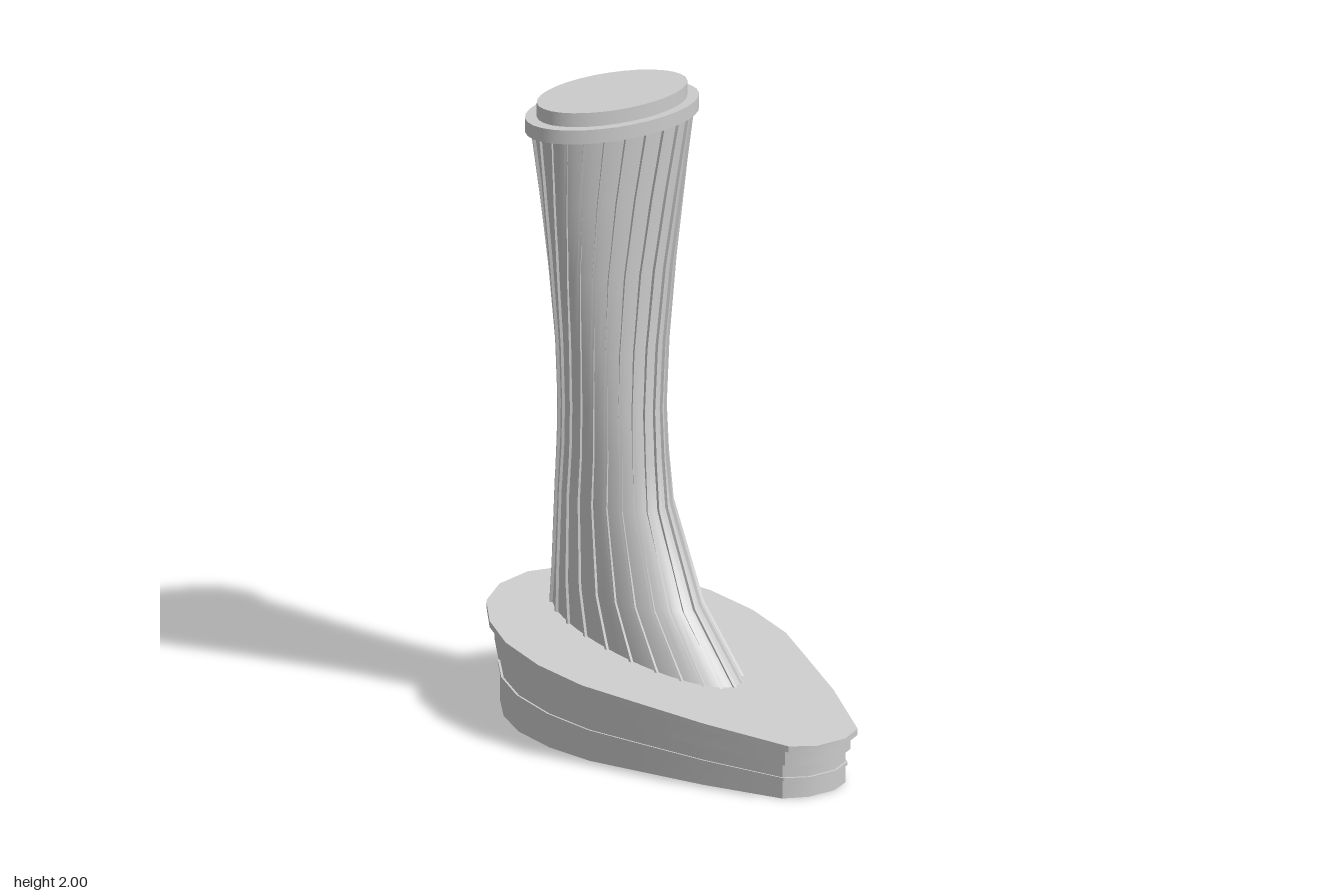
import * as THREE from 'three';
import { toCreasedNormals } from 'three/addons/utils/BufferGeometryUtils.js';

const grey = new THREE.MeshStandardMaterial({ color: 0xcccccc });
const greyThin = new THREE.MeshStandardMaterial({ color: 0xcccccc, side: THREE.DoubleSide });

// Skin a list of closed rings (each ordered from front towards +x), bottom to top
function loft(rings, capped, crease = 0.5) {
  const n = rings[0].length, pos = [], idx = [];
  rings.forEach(r => r.forEach(p => pos.push(p.x, p.y, p.z)));
  for (let i = 0; i < rings.length - 1; i++) {
    for (let k = 0; k < n; k++) {
      const k1 = (k + 1) % n;
      const a = i * n + k, b = i * n + k1, c = b + n, d = a + n;
      idx.push(a, b, c, a, c, d);
    }
  }
  if (capped) {
    [0, rings.length - 1].forEach((i, end) => {
      const mid = rings[i].reduce((s, p) => s.add(p), new THREE.Vector3()).divideScalar(n);
      const m = pos.length / 3;
      pos.push(mid.x, mid.y, mid.z);
      for (let k = 0; k < n; k++) {
        const a = i * n + k, b = i * n + (k + 1) % n;
        if (end) idx.push(m, a, b); else idx.push(m, b, a);
      }
    });
  }
  const g = new THREE.BufferGeometry();
  g.setAttribute('position', new THREE.Float32BufferAttribute(pos, 3));
  g.setIndex(idx);
  return toCreasedNormals(g, crease);
}

function add(parent, name, geometry, material = grey) {
  const mesh = new THREE.Mesh(geometry, material);
  mesh.name = name;
  parent.add(mesh);
  return mesh;
}

// Half plan of the base [x, z], blunt front to round back, then mirrored
const half = [[0.055, 0.75], [0.135, 0.71], [0.255, 0.44], [0.335, 0.21], [0.4, 0.02],
  [0.42, -0.17], [0.4, -0.355], [0.34, -0.51], [0.25, -0.64], [0.135, -0.72]];
const plan = [...half, [0, -0.75], ...half.map(([x, z]) => [-x, z]).reverse()];

// Base ring scaled in plan, lying on the sloped plane y = y0 - slope * z
const baseRing = (sx, sz, y0, slope) =>
  plan.map(([x, z]) => new THREE.Vector3(x * sx, y0 - slope * z * sz, z * sz));

// Column stations: front y, front z, back y, back z, half width
const stations = [
  [0.195, 0.31, 0.285, -0.602, 0.166],
  [0.42, 0.06, 0.44, -0.575, 0.16],
  [0.7, -0.1, 0.72, -0.547, 0.153],
  [0.85, -0.13, 0.86, -0.53, 0.154],
  [1.0, -0.155, 1.0, -0.513, 0.162],
  [1.2, -0.17, 1.2, -0.495, 0.184],
  [1.45, -0.175, 1.45, -0.488, 0.218],
  [1.7, -0.165, 1.7, -0.496, 0.255],
  [1.92, -0.155, 1.92, -0.512, 0.29],
];
const TWIST = Math.PI / 3;

// Point on the twisted elliptical column, with offsets outwards and along the skin
function columnPoint([yf, zf, yb, zb, rx], angle, out, side) {
  const yc = (yf + yb) / 2, zc = (zf + zb) / 2, rz = (zf - zb) / 2;
  const t = angle + TWIST * (yc - 0.24) / 1.68;
  const s = Math.sin(t), c = Math.cos(t);
  let nx = s / rx, nz = c / rz;
  const len = Math.hypot(nx, nz);
  nx /= len; nz /= len;
  const x = rx * s + nx * out + nz * side;
  const z = zc + rz * c + nz * out - nx * side;
  return new THREE.Vector3(x, yc + (yf - yb) / 2 * (z - zc) / rz, z);
}

export function createModel() {
  const model = new THREE.Group();

  // Hollow base: stepped wall, raised band and sloped deck
  const base = new THREE.Group();
  base.name = 'base';
  model.add(base);
  const foot = plan.map(([x, z]) => new THREE.Vector3(x * 0.915, 0, z * 0.935));
  add(base, 'baseWall', loft([
    foot,
    baseRing(0.915, 0.935, 0.155, 0.0625),
    baseRing(0.945, 0.962, 0.155, 0.0625),
    baseRing(0.945, 0.962, 0.238, 0.1),
  ], false), greyThin);
  add(base, 'baseBand', loft([
    baseRing(0.912, 0.932, 0.092, 0.05),
    baseRing(0.93, 0.946, 0.092, 0.05),
    baseRing(0.93, 0.946, 0.102, 0.05),
    baseRing(0.912, 0.932, 0.102, 0.05),
  ], false), greyThin);
  add(base, 'deck', loft([baseRing(1, 1, 0.235, 0.1), baseRing(1, 1, 0.255, 0.1)], true));

  // Twisted column body, long front to back below and wide at the top
  const column = new THREE.Group();
  column.name = 'column';
  model.add(column);
  const SIDES = 48, RIBS = 24;
  const body = stations.map(s => Array.from({ length: SIDES },
    (_, k) => columnPoint(s, k / SIDES * Math.PI * 2, -0.009, 0)));
  add(column, 'columnBody', loft(body, true, 0.6));

  // Thin ribs following the twist
  const w = 0.005;
  for (let r = 0; r < RIBS; r++) {
    const angle = r / RIBS * Math.PI * 2;
    const rings = stations.map(s => [[0, -w], [0, w], [-0.016, w], [-0.016, -w]]
      .map(([out, side]) => columnPoint(s, angle, out, side)));
    add(column, 'columnRib', loft(rings, true));
  }

  // Stepped elliptical cap
  const cap = new THREE.Group();
  cap.name = 'cap';
  model.add(cap);
  [['capFlange', 0.308, 0.186, 1.91, 1.955], ['capTop', 0.268, 0.157, 1.95, 2]]
    .forEach(([name, rx, rz, y0, y1]) => {
      const disc = add(cap, name, new THREE.CylinderGeometry(1, 1, y1 - y0, 32));
      disc.scale.set(rx, 1, rz);
      disc.position.set(0, (y0 + y1) / 2, -0.334);
    });

  return model;
}
